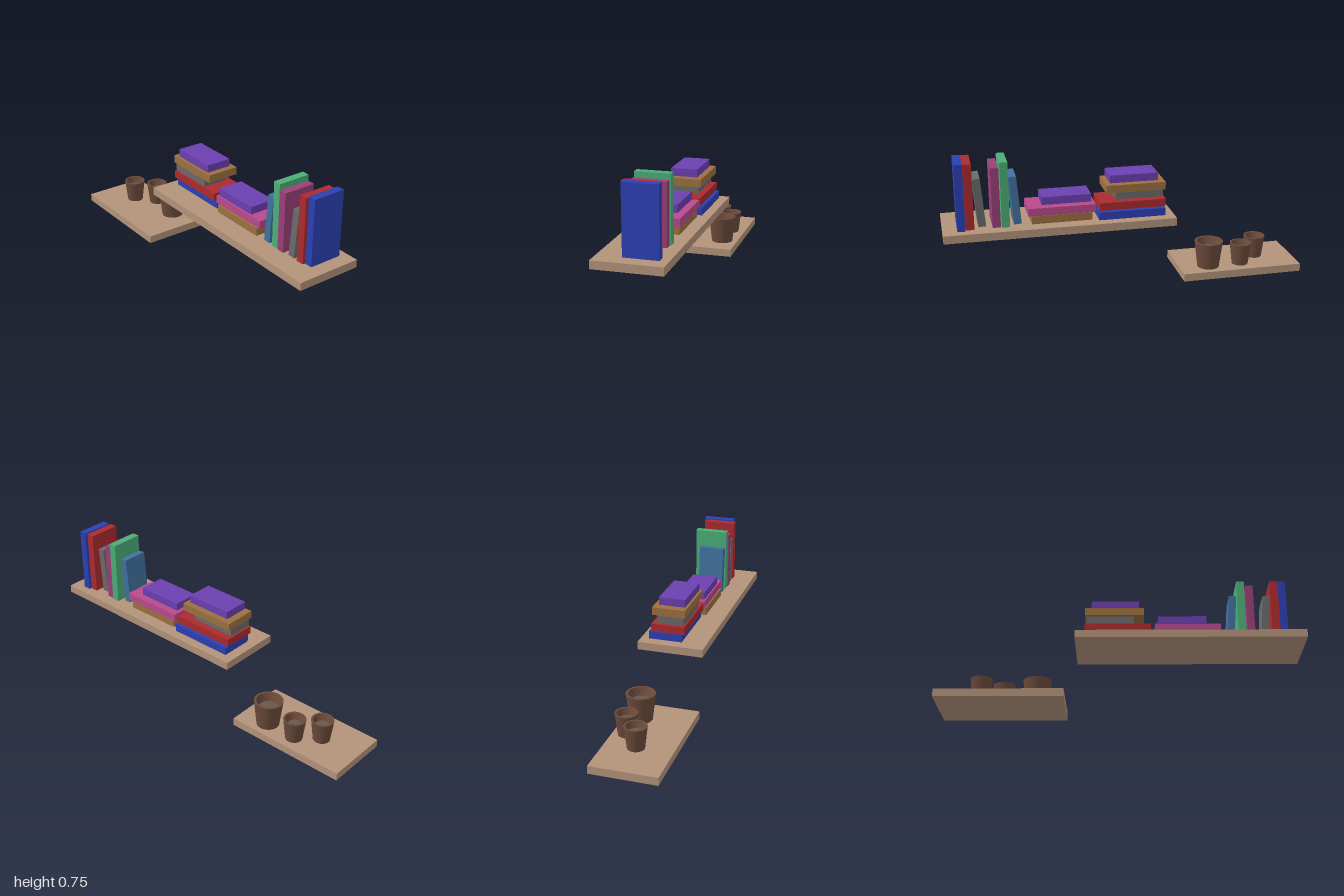
import * as THREE from 'three';

const mat = (color) => new THREE.MeshStandardMaterial({ color });

const WOOD = mat(0xb3937a), CLAY = mat(0x6b4a3a), SOIL = mat(0x66594b);
const BLUE = mat(0x2b40b4), RED = mat(0xab2a2e), GREY = mat(0x6a6a6a), PLUM = mat(0x9a4078);
const GREEN = mat(0x4bae78), STEEL = mat(0x41719f), TAN = mat(0x9c7040), PINK = mat(0xb84a8c), PURPLE = mat(0x6c3fb0);

// Box given by its extents on each axis
function box(name, material, [x0, x1], [y0, y1], [z0, z1]) {
  const mesh = new THREE.Mesh(new THREE.BoxGeometry(x1 - x0, y1 - y0, z1 - z0), material);
  mesh.position.set((x0 + x1) / 2, (y0 + y1) / 2, (z0 + z1) / 2);
  mesh.name = name;
  return mesh;
}

// Tapered pot with a thick rim and recessed soil
function pot(name, x, z, y, height, rTop, rBottom) {
  const group = new THREE.Group();
  group.name = name;
  const rInner = rTop * 0.83, rSoil = rTop * 0.64, soilY = height * 0.72;
  // Separate segments keep the rim and base edges sharp
  const segments = [
    [[0, 0], [rBottom, 0]],
    [[rBottom, 0], [rTop, height]],
    [[rTop, height], [rInner, height]],
    [[rInner, height], [rSoil, soilY]],
  ];
  for (const seg of segments) {
    const points = seg.map(([r, h]) => new THREE.Vector2(r, h));
    const wall = new THREE.Mesh(new THREE.LatheGeometry(points, 40), CLAY);
    wall.name = 'potWall';
    group.add(wall);
  }
  const soil = new THREE.Mesh(new THREE.CircleGeometry(rSoil, 40).rotateX(-Math.PI / 2), SOIL);
  soil.position.y = soilY;
  soil.name = 'soil';
  group.add(soil);
  group.position.set(x, y, z);
  return group;
}

export function createModel() {
  const model = new THREE.Group();
  model.name = 'bookShelves';

  // Two shelf boards
  model.add(box('upperShelf', WOOD, [-0.183, 0.183], [0.341, 0.385], [-0.26, 1]));
  model.add(box('lowerShelf', WOOD, [-0.183, 0.183], [0, 0.044], [-1, -0.31]));

  // Upright books: material, x extent, top, z extent, lean
  const upright = [
    [BLUE, [-0.048, 0.137], 0.753, [0.88, 0.923], 0],
    [RED, [-0.063, 0.122], 0.746, [0.833, 0.878], 0],
    [GREY, [-0.06, 0.086], 0.654, [0.779, 0.82], 0.08],
    [PLUM, [-0.068, 0.115], 0.716, [0.693, 0.736], 0],
    [GREEN, [-0.064, 0.122], 0.746, [0.645, 0.688], 0],
    [STEEL, [-0.06, 0.086], 0.654, [0.589, 0.63], 0.08],
  ];
  for (const [material, x, top, z, lean] of upright) {
    const book = box('uprightBook', material, x, [0.386, top], z);
    book.rotation.x = lean;
    model.add(book);
  }

  // Lying books, bottom to top: material, x extent, z extent
  const stacks = [
    [
      [TAN, [-0.07, 0.115], [0.198, 0.527]],
      [PINK, [-0.065, 0.124], [0.18, 0.546]],
      [PURPLE, [-0.06, 0.087], [0.198, 0.468]],
    ],
    [
      [BLUE, [-0.05, 0.135], [-0.206, 0.163]],
      [RED, [-0.066, 0.12], [-0.211, 0.157]],
      [GREY, [-0.06, 0.087], [-0.203, 0.064]],
      [TAN, [-0.07, 0.115], [-0.211, 0.12]],
      [PURPLE, [-0.06, 0.087], [-0.174, 0.093]],
    ],
  ];
  for (const books of stacks) {
    const stack = new THREE.Group();
    stack.name = 'bookStack';
    books.forEach(([material, x, z], i) => {
      const y = 0.389 + i * 0.0475;
      stack.add(box('lyingBook', material, x, [y, y + 0.043], z));
    });
    model.add(stack);
  }

  // Pots on the lower shelf
  model.add(pot('largePot', 0.09, -0.476, 0.045, 0.152, 0.08, 0.062));
  model.add(pot('middlePot', 0.102, -0.662, 0.05, 0.125, 0.061, 0.046));
  model.add(pot('rearPot', 0.011, -0.776, 0.05, 0.125, 0.061, 0.046));

  return model;
}
